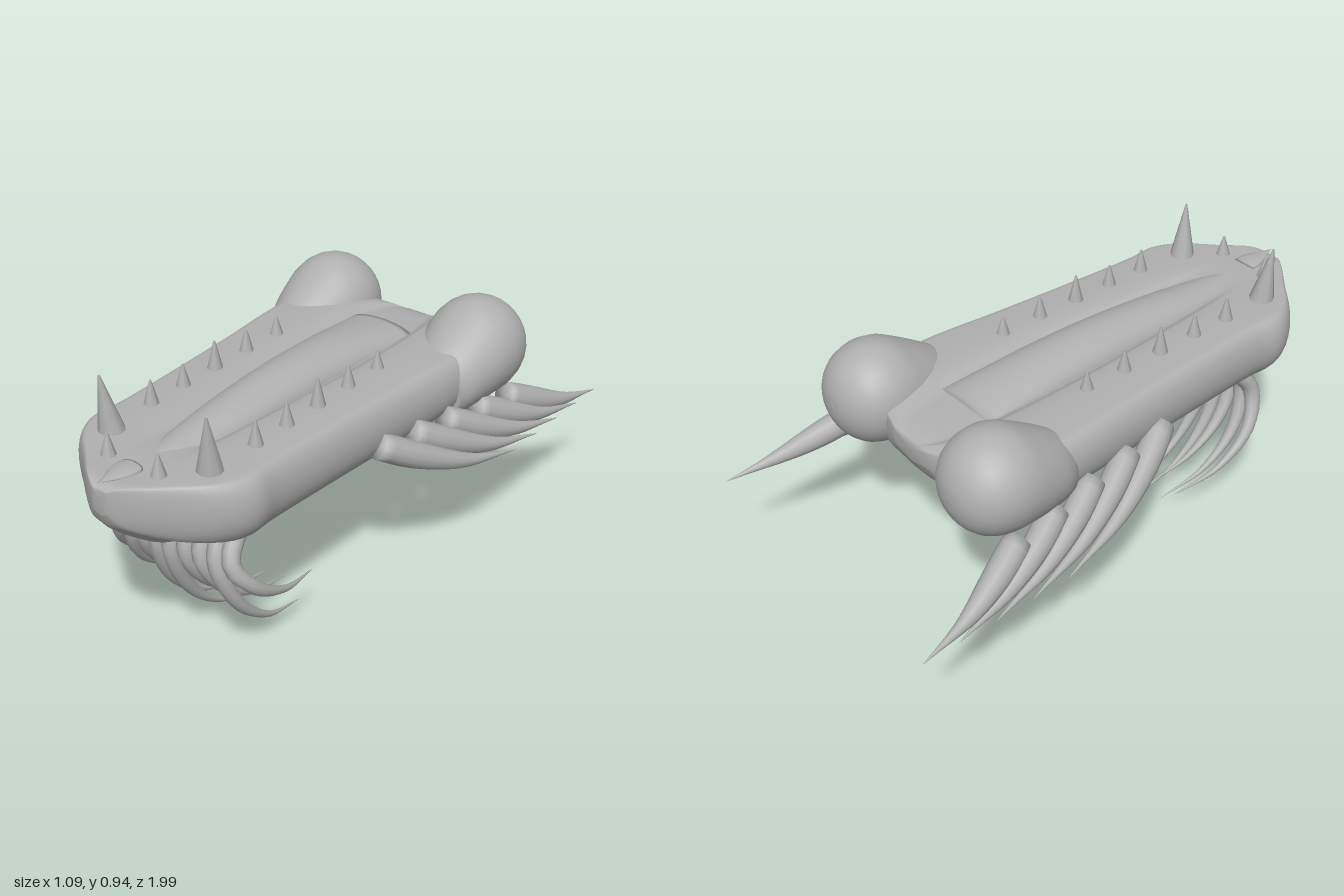
import * as THREE from 'three';

const V = (x, y, z) => new THREE.Vector3(x, y, z);

// Skin a list of equal-length closed rings; both ends are closed with fans.
function skin(rings) {
  const n = rings[0].length, pos = [], idx = [];
  rings.forEach(r => r.forEach(p => pos.push(p.x, p.y, p.z)));
  for (let i = 0; i < rings.length - 1; i++) {
    for (let j = 0; j < n; j++) {
      const k = (j + 1) % n, a = i * n + j, b = i * n + k;
      idx.push(a, b, a + n, b, b + n, a + n);
    }
  }
  [0, rings.length - 1].forEach((r, end) => {
    const c = rings[r].reduce((s, p) => s.add(p), V(0, 0, 0)).divideScalar(n);
    const ci = pos.length / 3;
    pos.push(c.x, c.y, c.z);
    for (let j = 0; j < n; j++) {
      const a = r * n + j, b = r * n + (j + 1) % n;
      if (end) idx.push(ci, a, b); else idx.push(ci, b, a);
    }
  });
  const g = new THREE.BufferGeometry();
  g.setAttribute('position', new THREE.Float32BufferAttribute(pos, 3));
  g.setIndex(idx);
  g.computeVertexNormals();
  return g;
}

// Smoothly interpolate between key rings along each rail, then skin.
function loft(keys, steps) {
  const rails = keys[0].map((_, j) =>
    new THREE.CatmullRomCurve3(keys.map(r => r[j]), false, 'centripetal').getPoints(steps));
  return skin(rails[0].map((_, i) => rails.map(r => r[i])));
}

// Elliptical ring facing the z axis.
function ellipse(x, y, z, rx, ry, n = 28) {
  return Array.from({ length: n }, (_, j) => {
    const a = j / n * Math.PI * 2;
    return V(x + rx * Math.sin(a), y + ry * Math.cos(a), z);
  });
}

// Curved horn: round section along a path, shrinking to a point.
function horn(points, radius, sides = 12, steps = 16) {
  const curve = new THREE.CatmullRomCurve3(points);
  const f = curve.computeFrenetFrames(steps, false);
  const rings = [];
  for (let i = 0; i <= steps; i++) {
    const t = i / steps, c = curve.getPointAt(t);
    const r = Math.max(radius * Math.pow(1 - t, 0.75) * (0.75 + 0.5 * Math.sin(Math.PI * Math.min(1, t + 0.15))), 0.0008);
    rings.push(Array.from({ length: sides }, (_, j) => {
      const a = j / sides * Math.PI * 2;
      return c.clone().addScaledVector(f.normals[i], r * Math.cos(a)).addScaledVector(f.binormals[i], r * Math.sin(a));
    }));
  }
  return skin(rings);
}

// Jaw cross-section: flat rim, shallow central channel, rounded sides.
function jawRing([z, w, top, bottom, side, g, d]) {
  const h = top - side;
  const half = [
    [g * 0.5, top - d], [g, top - d], [g + w * 0.1, top], [w * 0.8, top], [w * 0.9, top - h * 0.02],
    [w * 0.97, top - h * 0.16], [w, top - h * 0.42], [w * 0.96, top - h * 0.7],
    [w * 0.83, top - h * 0.92], [w * 0.6, side], [w * 0.33, bottom + (side - bottom) * 0.45], [w * 0.14, bottom],
  ];
  const pts = [...half, ...half.slice().reverse().map(([x, y]) => [-x, y])].map(([x, y]) => V(x, y, z));
  return new THREE.CatmullRomCurve3(pts, true, 'centripetal').getPoints(72).slice(0, -1);
}

export function createModel() {
  const model = new THREE.Group();
  const grey = new THREE.MeshStandardMaterial({ color: 0xb0b0b0 });
  grey.name = 'grey';
  const add = (name, geometry) => {
    const m = new THREE.Mesh(geometry, grey);
    m.name = name;
    model.add(m);
    return m;
  };

  // Jaw: z, half width, top, bottom centre, bottom side, channel half width, channel depth
  add('jaw', loft([
    [0.992, 0.025, 0.74, 0.66, 0.665, 0.008, 0],
    [0.965, 0.075, 0.755, 0.605, 0.615, 0.02, 0],
    [0.88, 0.18, 0.755, 0.53, 0.56, 0.04, 0],
    [0.78, 0.295, 0.755, 0.468, 0.53, 0.06, 0],
    [0.69, 0.342, 0.755, 0.456, 0.515, 0.07, 0.005],
    [0.58, 0.338, 0.755, 0.492, 0.51, 0.08, 0.015],
    [0.3, 0.353, 0.755, 0.5, 0.508, 0.1, 0.02],
    [0, 0.375, 0.755, 0.5, 0.508, 0.12, 0.02],
    [-0.3, 0.4, 0.755, 0.508, 0.515, 0.125, 0.02],
    [-0.48, 0.38, 0.75, 0.515, 0.525, 0.11, 0.025],
    [-0.58, 0.24, 0.725, 0.55, 0.56, 0.08, 0.01],
    [-0.63, 0.08, 0.7, 0.63, 0.64, 0.03, 0],
  ].map(jawRing), 66));

  // Tongue: z, half width, crown height
  add('tongue', loft([
    [0.77, 0.02, 0.752], [0.7, 0.06, 0.758], [0.58, 0.083, 0.768], [0.4, 0.1, 0.787], [0.15, 0.113, 0.802],
    [-0.1, 0.122, 0.795], [-0.28, 0.127, 0.775], [-0.41, 0.13, 0.755],
  ].map(([z, w, top]) => ellipse(0, 0.715, z, w, top - 0.715)), 35));

  // Raised pointed lip at the front of the jaw
  const lip = add('frontLip', horn([V(0, 0.735, 0.85), V(0, 0.747, 0.9), V(0, 0.757, 0.95), V(0, 0.768, 0.992)], 0.045));
  lip.geometry.translate(0, -0.752, 0).scale(1, 0.3, 1).translate(0, 0.759, 0);
  lip.geometry.computeVertexNormals();

  // Teeth: x, z, tip height, base radius
  const teeth = [[0.1, 0.845, 0.828, 0.03], [0.21, 0.54, 0.84, 0.03], [0.21, 0.39, 0.835, 0.03],
    [0.21, 0.235, 0.855, 0.031], [0.21, 0.075, 0.835, 0.03], [0.21, -0.085, 0.823, 0.029]];

  for (const s of [1, -1]) {
    const label = s > 0 ? 'left' : 'right';

    // Rounded hinge knob with a ramp leading up to it
    add(label + 'HingeKnob', loft([
      [-0.29, 0.63, 0.1, 0.115], [-0.34, 0.648, 0.13, 0.13], [-0.42, 0.672, 0.155, 0.155], [-0.49, 0.69, 0.168, 0.173],
      [-0.56, 0.695, 0.17, 0.175], [-0.63, 0.695, 0.15, 0.152], [-0.68, 0.695, 0.105, 0.106],
      [-0.705, 0.695, 0.05, 0.05], [-0.711, 0.695, 0.004, 0.004],
    ].map(([z, y, rx, ry]) => ellipse(s * 0.305, y, z, rx, ry)), 40));

    // Small teeth
    teeth.forEach(([x, z, tip, r], i) => {
      const g = new THREE.CylinderGeometry(0.003, r, tip - 0.74, 8);
      g.translate(s * x, (tip + 0.74) / 2, z);
      add(label + 'Tooth' + (i + 1), g);
    });

    // Large tusk, leaning slightly outward and forward
    const tusk = new THREE.CylinderGeometry(0.003, 0.047, 0.21, 9, 4);
    tusk.translate(0, 0.105, 0).rotateX(0.12).rotateZ(-s * 0.07).translate(s * 0.195, 0.737, 0.73);
    add(label + 'Tusk', tusk);

    // Fan of five swept-back cheek spikes
    const tipZ = [-0.45, -0.59, -0.73, -0.87, -1.0];
    tipZ.forEach((tz, i) => {
      const z0 = 0.11 - i * 0.165, y0 = 0.605 - i * 0.018, x0 = 0.355 + i * 0.018;
      const L = z0 - tz, out = 0.545 - x0, drop = y0 - 0.4;
      add(label + 'CheekSpike' + (i + 1), horn([
        V(s * x0, y0, z0),
        V(s * (x0 + out * 0.33), y0 - drop * 0.38, z0 - L * 0.25),
        V(s * (x0 + out * 0.7), y0 - drop * 0.76, z0 - L * 0.58),
        V(s * 0.545, 0.4, tz),
      ], 0.046));
    });
  }

  // Beard of nine tentacles under the chin; tip heights from right to left
  const tips = [0.13, 0.08, 0.11, 0.02, 0.002, 0.11, 0.11, 0.04, 0.19];
  tips.forEach((ty, i) => {
    const k = (i - 4) / 4, a = Math.abs(k), drop = 0.5 - ty;
    add('beardTentacle' + (i + 1), horn([
      V(k * 0.19, 0.53, 0.64 - a * 0.06),
      V(k * 0.225, 0.41, 0.705 - a * 0.02),
      V(k * 0.27, 0.5 - drop * 0.58, 0.635),
      V(k * 0.275, 0.5 - drop * 0.86, 0.49),
      V(k * 0.24, ty, 0.3),
    ], 0.03, 10, 20));
  });

  return model;
}
